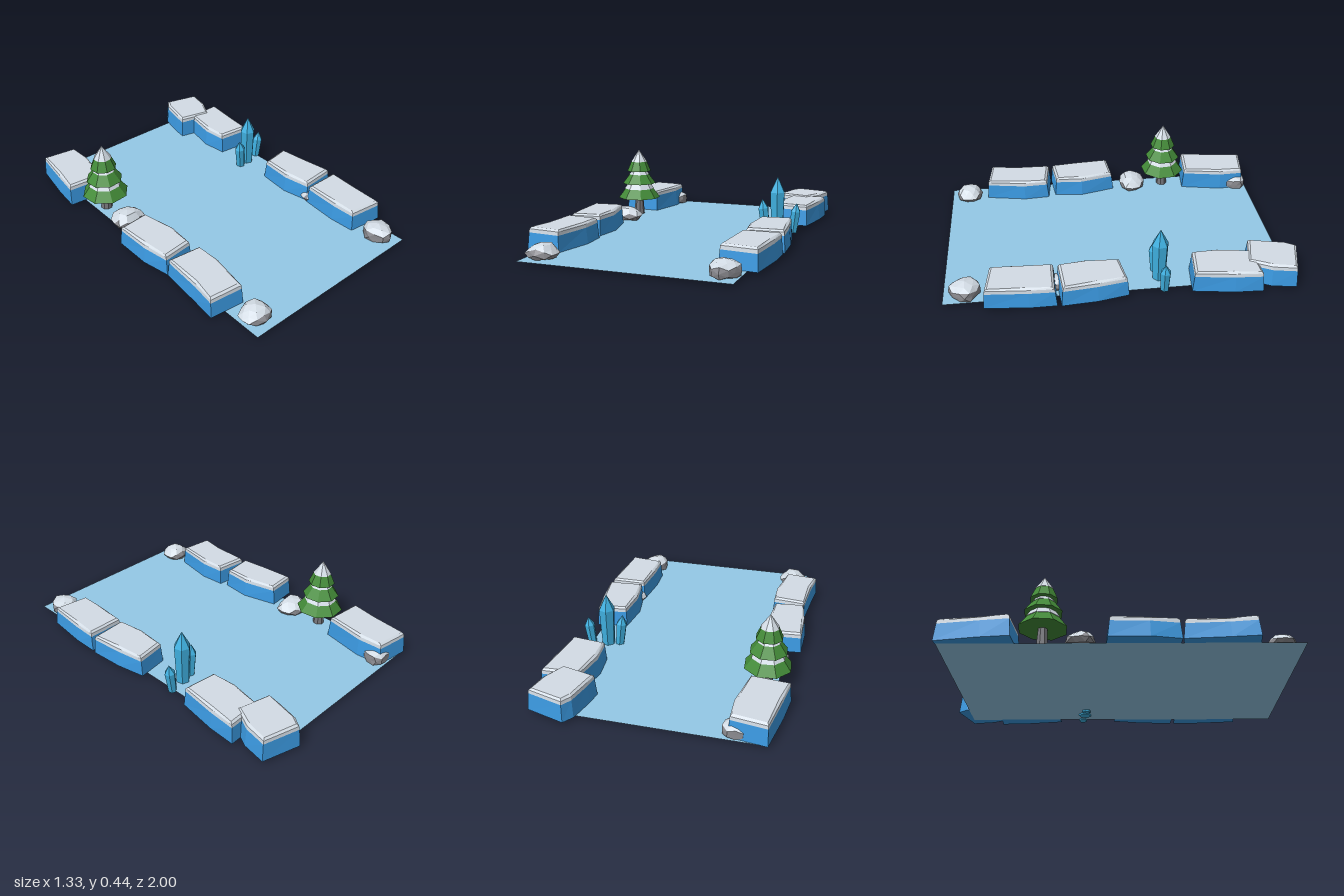
import * as THREE from 'three';

const material = (name, color) => {
  const m = new THREE.MeshStandardMaterial({ color, flatShading: true });
  m.name = name;
  return m;
};
const GROUND = 0.015;

// Stacks outline rings ([y, inset] per level) into a faceted solid with optional caps.
function loft(outline, levels, capTop, capBottom) {
  const n = outline.length;
  const cx = outline.reduce((s, p) => s + p[0], 0) / n;
  const cz = outline.reduce((s, p) => s + p[1], 0) / n;
  const rings = levels.map(([y, inset]) => outline.map(([x, z]) => {
    const k = 1 - inset / Math.hypot(x - cx, z - cz);
    return [cx + (x - cx) * k, y, cz + (z - cz) * k];
  }));
  const pos = [];
  const tri = (...pts) => pts.forEach((p) => pos.push(...p));
  for (let i = 0; i < n; i++) {
    const j = (i + 1) % n;
    for (let l = 0; l < rings.length - 1; l++) {
      const [lo, hi] = [rings[l], rings[l + 1]];
      tri(lo[j], lo[i], hi[i]);
      tri(lo[j], hi[i], hi[j]);
    }
    const top = rings[rings.length - 1];
    if (capTop) tri([cx, top[0][1], cz], top[j], top[i]);
    if (capBottom) tri([cx, rings[0][0][1], cz], rings[0][i], rings[0][j]);
  }
  return toGeometry(pos);
}

function toGeometry(pos) {
  const g = new THREE.BufferGeometry();
  g.setAttribute('position', new THREE.Float32BufferAttribute(pos, 3));
  g.computeVertexNormals();
  return g;
}

export function createModel() {
  const model = new THREE.Group();
  model.name = 'frozenRiver';
  const mats = {
    water: material('frozenWater', 0x93c8e6),
    ice: material('ice', 0x3b9ae2),
    snow: material('snow', 0xd3dce5),
    crystal: material('crystal', 0x3fb0e0),
    leaf: material('needles', 0x438b38),
    rock: material('rock', 0x8d8d92),
    bark: material('bark', 0x77777c),
  };
  mats.water.side = THREE.DoubleSide;

  const group = (name) => {
    const g = new THREE.Group();
    g.name = name;
    model.add(g);
    return g;
  };
  const add = (parent, name, geo, mat) => {
    const mesh = new THREE.Mesh(geo, mat);
    mesh.name = name;
    parent.add(mesh);
    return mesh;
  };

  // Frozen water sheet
  const sheet = add(model, 'water', new THREE.PlaneGeometry(1.15, 1.925).rotateX(-Math.PI / 2), mats.water);
  sheet.position.set(0, GROUND - 0.001, 0.035);

  // Ice bank blocks: top height and clockwise footprint (x, z)
  const banks = [
    [0.145, [[-0.608, -0.935], [-0.40, -0.905], [-0.39, -0.755], [-0.44, -0.507], [-0.667, -0.528], [-0.65, -0.69]]],
    [0.14, [[0.45, -0.74], [0.667, -0.748], [0.66, -0.59], [0.624, -0.357], [0.423, -0.378], [0.407, -0.53]]],
    [0.147, [[0.44, -1], [0.656, -0.938], [0.632, -0.80], [0.56, -0.668], [0.354, -0.718], [0.365, -0.80], [0.40, -0.945]]],
    [0.137, [[0.614, -0.012], [0.647, 0.16], [0.661, 0.36], [0.444, 0.377], [0.413, 0.21], [0.434, 0.015]]],
    [0.135, [[0.434, 0.382], [0.656, 0.382], [0.656, 0.53], [0.63, 0.776], [0.42, 0.75], [0.413, 0.6]]],
    [0.137, [[-0.656, -0.034], [-0.475, -0.05], [-0.423, 0.16], [-0.44, 0.333], [-0.624, 0.352], [-0.656, 0.186]]],
    [0.135, [[-0.624, 0.355], [-0.423, 0.377], [-0.413, 0.53], [-0.46, 0.772], [-0.661, 0.75], [-0.645, 0.6]]],
  ];
  for (const [top, outline] of banks) {
    const bank = group('iceBank');
    const seam = top - 0.03;
    add(bank, 'iceBase', loft(outline, [[GROUND, 0], [seam, 0.01]], false, true), mats.ice);
    add(bank, 'snowCap', loft(outline, [[seam, 0.01], [top - 0.01, 0.013], [top, 0.028]], true, false), mats.snow);
  }

  // Rocks: jittered, squashed spheres; faces that point up carry snow
  const buildRock = (x, z, rx, rz, height, seed) => {
    const src = new THREE.IcosahedronGeometry(1, 1).getAttribute('position');
    const rock = [], snow = [];
    const v = [0, 1, 2].map(() => new THREE.Vector3());
    const normal = new THREE.Vector3();
    for (let f = 0; f < src.count; f += 3) {
      v.forEach((p, k) => {
        p.fromBufferAttribute(src, f + k);
        const wave = Math.sin(p.x * 4.1 + seed) + Math.sin(p.y * 5.3 + seed * 2.1) + Math.sin(p.z * 4.7 - seed * 1.7);
        p.multiplyScalar(0.97 + wave * 0.06);
        p.set(x + p.x * rx, Math.max(GROUND, GROUND + height * (0.33 + p.y * 0.67)), z + p.z * rz);
      });
      normal.subVectors(v[1], v[0]).cross(v[2].clone().sub(v[0])).normalize();
      const target = normal.y > 0.5 ? snow : rock;
      v.forEach((p) => target.push(p.x, p.y, p.z));
    }
    const g = group('snowyRock');
    add(g, 'rockBody', toGeometry(rock), mats.rock);
    add(g, 'rockSnow', toGeometry(snow), mats.snow);
  };
  [
    [-0.485, 0.885, 0.094, 0.076, 0.083, 1],
    [0.495, 0.875, 0.088, 0.092, 0.085, 2.3],
    [-0.507, -0.175, 0.096, 0.084, 0.088, 4],
    [-0.44, -0.86, 0.08, 0.07, 0.08, 5.2],
    [0.485, 0.365, 0.065, 0.05, 0.07, 0.4],
  ].forEach((r) => buildRock(...r));

  // Snowy fir: eight-sided tiers [name, top y, top radius, bottom y, bottom radius]
  const tree = group('firTree');
  tree.position.set(-0.513, 0, -0.38);
  const tiers = [
    ['trunk', 0.14, 0.025, GROUND, 0.034, mats.bark],
    ['lowerNeedles', 0.187, 0.09, 0.125, 0.137, mats.leaf],
    ['lowerSnow', 0.222, 0.072, 0.185, 0.097, mats.snow],
    ['middleNeedles', 0.282, 0.062, 0.22, 0.108, mats.leaf],
    ['middleSnow', 0.305, 0.046, 0.28, 0.066, mats.snow],
    ['upperNeedles', 0.366, 0.05, 0.302, 0.078, mats.leaf],
    ['snowTip', 0.443, 0, 0.364, 0.053, mats.snow],
  ];
  for (const [name, y1, r1, y0, r0, mat] of tiers) {
    const geo = new THREE.CylinderGeometry(r1, r0, y1 - y0, 8).rotateY(Math.PI / 8 + 0.1);
    add(tree, name, geo, mat).position.y = (y0 + y1) / 2;
  }

  // Crystal cluster: six-sided shards with pointed tips, side ones leaning out
  const cluster = group('crystalCluster');
  const shards = [
    [0.478, -0.197, 0.335, 0.048, 0, 0],
    [0.412, -0.185, 0.2, 0.033, 0.11, 0.02],
    [0.572, -0.213, 0.18, 0.031, -0.12, 0.03],
  ];
  for (const [x, z, h, r, leanZ, leanX] of shards) {
    const profile = [[0, 0], [r * 0.8, 0], [r, h * 0.72], [0, h]].map((p) => new THREE.Vector2(...p));
    const shard = add(cluster, 'crystalShard', new THREE.LatheGeometry(profile, 6), mats.crystal);
    shard.position.set(x, 0.003, z);
    shard.rotation.set(leanX, 0.2, leanZ);
  }
  return model;
}
